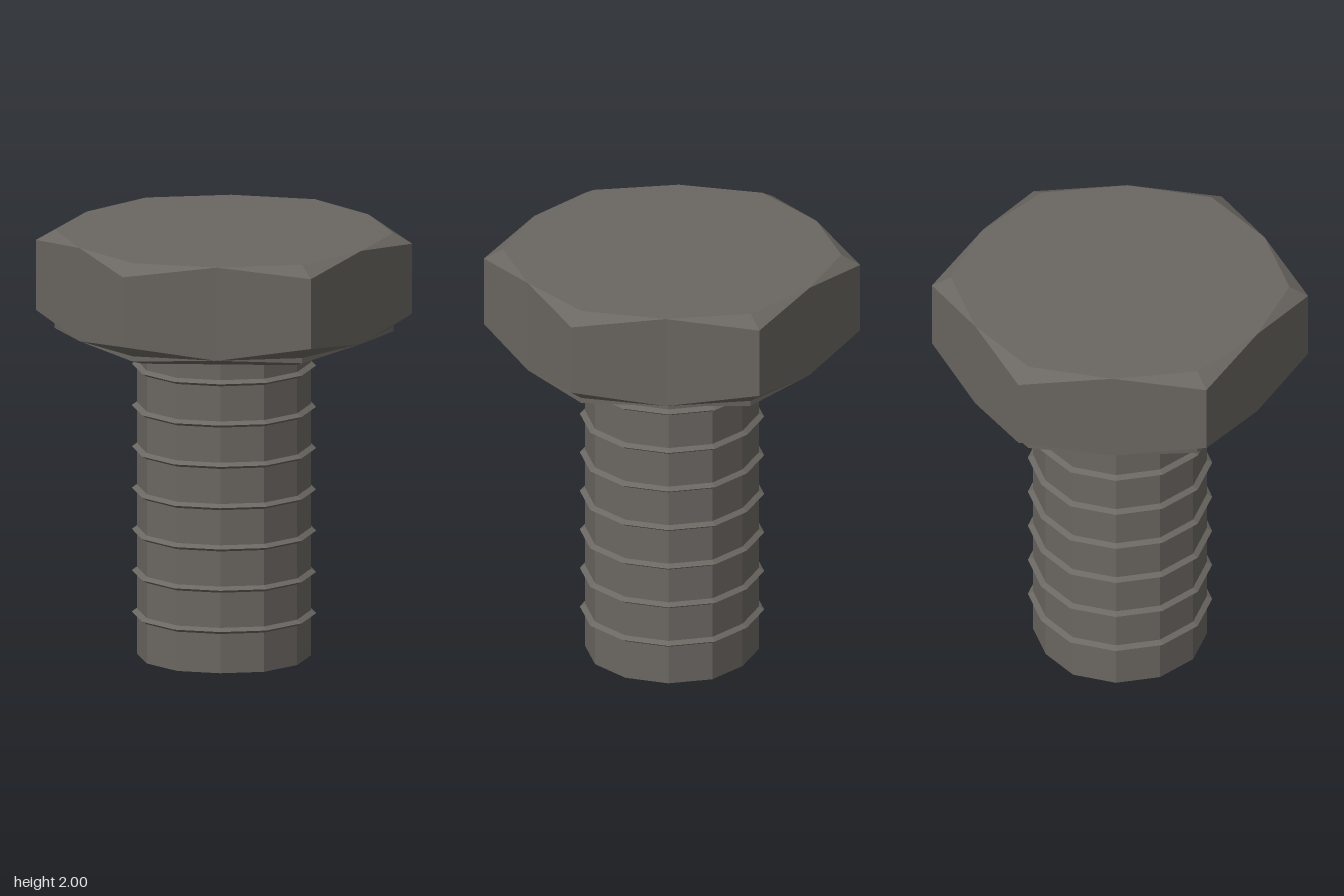
import * as THREE from 'three';

const SIDES = 12;

// Skins stacked 12-sided loops; each loop is { y, r(i) } and runs bottom to top.
function loft(loops, capped) {
  const pos = [];
  const point = (l, i) => {
    const k = i % SIDES, a = (k / SIDES) * Math.PI * 2, r = l.r(k);
    return [r * Math.cos(a), l.y, r * Math.sin(a)];
  };
  const tri = (a, b, c) => pos.push(...a, ...b, ...c);
  for (let n = 0; n < loops.length - 1; n++) {
    for (let i = 0; i < SIDES; i++) {
      const a = point(loops[n], i), a2 = point(loops[n], i + 1);
      const b = point(loops[n + 1], i), b2 = point(loops[n + 1], i + 1);
      // diagonals always rise from a corner to an edge middle
      if (i % 2 === 0) { tri(a, b, b2); tri(a, b2, a2); }
      else { tri(a, b, a2); tri(a2, b, b2); }
    }
  }
  if (capped) {
    const lo = loops[0], hi = loops[loops.length - 1];
    for (let i = 0; i < SIDES; i++) {
      tri([0, lo.y, 0], point(lo, i), point(lo, i + 1));
      tri([0, hi.y, 0], point(hi, i + 1), point(hi, i));
    }
  }
  const g = new THREE.BufferGeometry();
  g.setAttribute('position', new THREE.Float32BufferAttribute(pos, 3));
  g.computeVertexNormals();
  return g;
}

export function createModel() {
  const group = new THREE.Group();
  const steel = new THREE.MeshStandardMaterial({ color: 0x6b6762 });
  steel.name = 'dark steel';

  const add = (name, geometry) => {
    const mesh = new THREE.Mesh(geometry, steel);
    mesh.name = name;
    group.add(mesh);
  };

  // Shank: twelve sides, slightly flattened front and back
  const shankR = (s) => (i) => (i % 6 === 3 ? 0.385 : 0.4) * s;
  add('shank', loft([{ y: 0, r: shankR(1) }, { y: 1.52, r: shankR(1) }], true));

  // Thread ridges: thin double cones around the shank
  for (let n = 0; n < 7; n++) {
    const y = 0.2 + n * 0.195;
    add('threadRidge' + (n + 1), loft([
      { y: y - 0.015, r: shankR(0.998) },
      { y, r: shankR(1.0625) },
      { y: y + 0.015, r: shankR(0.998) },
    ], false));
  }

  // Hex head: corner and edge-middle radii and heights give the chamfers
  const level = (yCorner, rCorner, yMid, rMid) => ({ yCorner, rCorner, yMid, rMid });
  const levels = [
    level(1.51, 0.7, 1.51, 0.606),
    level(1.535, 0.78, 1.535, 0.675),
    level(1.56, 0.78, 1.56, 0.75),
    level(1.62, 0.867, 1.56, 0.75),
    level(1.95, 0.867, 2, 0.75),
    level(2, 0.78, 2, 0.75),
  ];
  add('hexHead', hexLoft(levels));
  return group;
}

// Lofts the head, moving corner and edge-middle points to their own heights.
function hexLoft(levels) {
  const loops = levels.map((l, n) => ({ y: n, r: (i) => (i % 2 ? l.rMid : l.rCorner) }));
  const g = loft(loops, true);
  const p = g.attributes.position;
  for (let v = 0; v < p.count; v++) {
    const l = levels[Math.round(p.getY(v))];
    const step = Math.round(Math.atan2(p.getZ(v), p.getX(v)) / (Math.PI / 6));
    p.setY(v, step % 2 ? l.yMid : l.yCorner);
  }
  g.computeVertexNormals();
  return g;
}
